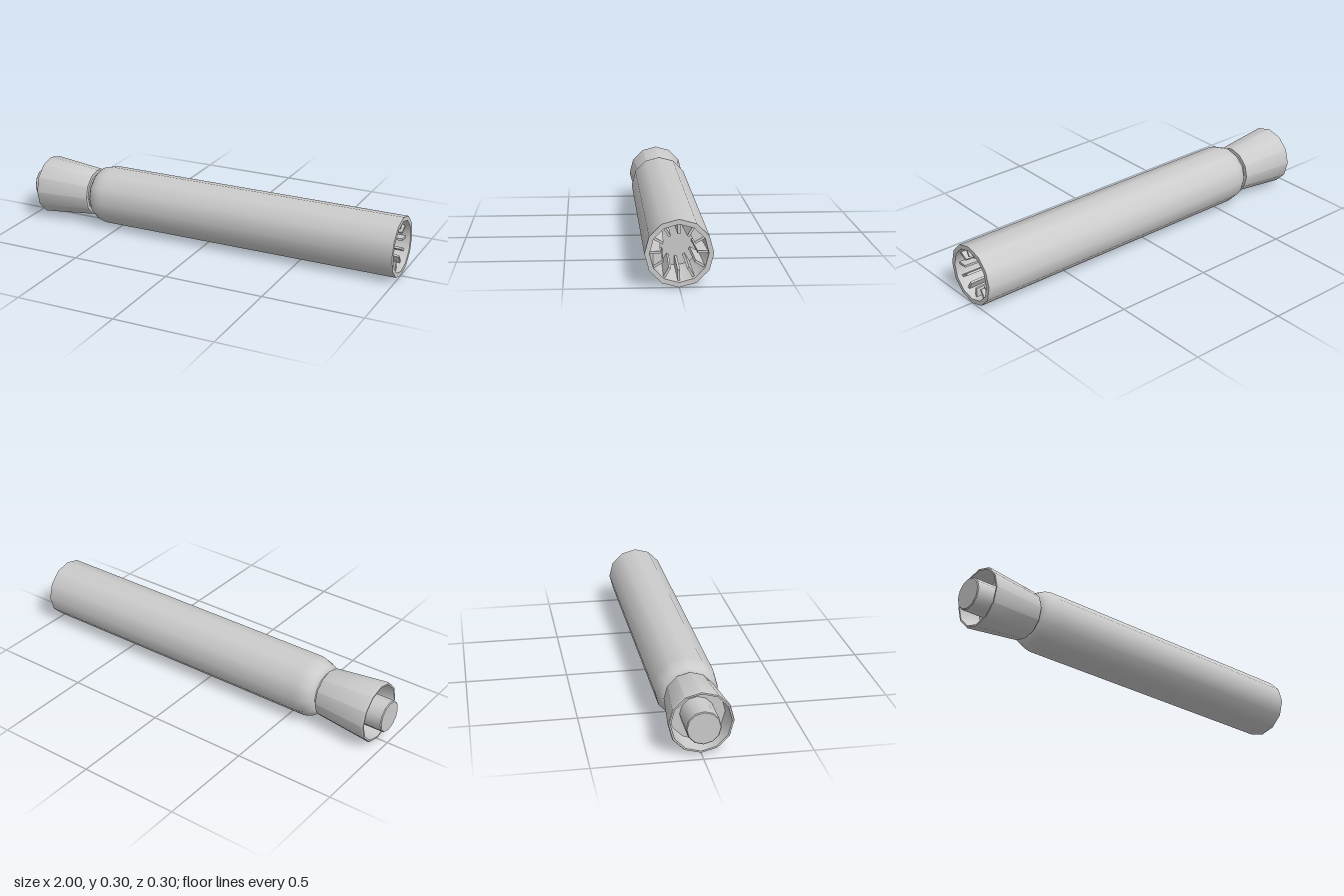
import * as THREE from 'three';
import { toCreasedNormals } from 'three/addons/utils/BufferGeometryUtils.js';

const SIDES = 12;
const material = new THREE.MeshStandardMaterial({ color: 0xcccccc });

// Turns a list of [x, radius] pairs around the x axis
function turned(name, profile) {
  const points = profile.map(([x, r]) => new THREE.Vector2(r, x));
  const geometry = new THREE.LatheGeometry(points, SIDES).rotateZ(-Math.PI / 2);
  const mesh = new THREE.Mesh(toCreasedNormals(geometry, 0.6), material);
  mesh.name = name;
  return mesh;
}

export function createModel() {
  const model = new THREE.Group();
  model.name = 'ribbedTube';
  model.position.y = 0.15;

  // Main tube: domed shoulder, straight barrel, tapering blind socket
  const shoulder = [];
  for (let i = 0; i <= 6; i++) {
    const a = (i / 6) * Math.PI / 2;
    shoulder.push([-0.56 - 0.09 * Math.cos(a), 0.1 + 0.05 * Math.sin(a)]);
  }
  model.add(turned('barrel', [
    ...shoulder, [1, 0.15], [1, 0.128], [0.75, 0.116], [0.75, 0],
  ]));

  // Neck between barrel and collar
  model.add(turned('neck', [[-0.68, 0.1], [-0.645, 0.1]]));

  // Flared collar, hollow at the rear around a central plug
  model.add(turned('collar', [
    [-0.84, 0.07], [-0.84, 0.128], [-0.945, 0.138], [-0.945, 0.146],
    [-0.938, 0.149], [-0.668, 0.121], [-0.663, 0.118], [-0.663, 0.09],
  ]));
  model.add(turned('plug', [
    [-1, 0], [-1, 0.075], [-0.996, 0.079], [-0.84, 0.079],
  ]));

  // Radial ribs inside the socket
  const outline = new THREE.Shape([
    new THREE.Vector2(0.74, 0.07), new THREE.Vector2(0.975, 0.08),
    new THREE.Vector2(0.975, 0.129), new THREE.Vector2(0.74, 0.12),
  ]);
  const ribGeometry = new THREE.ExtrudeGeometry(outline, { depth: 0.011, bevelEnabled: false });
  ribGeometry.translate(0, 0, -0.0055);
  const ribs = new THREE.Group();
  ribs.name = 'socketRibs';
  for (let i = 0; i < SIDES; i++) {
    const rib = new THREE.Mesh(ribGeometry, material);
    rib.name = 'rib';
    rib.rotation.x = (i / SIDES) * Math.PI * 2;
    ribs.add(rib);
  }
  model.add(ribs);

  const root = new THREE.Group();
  root.add(model);
  return root;
}
